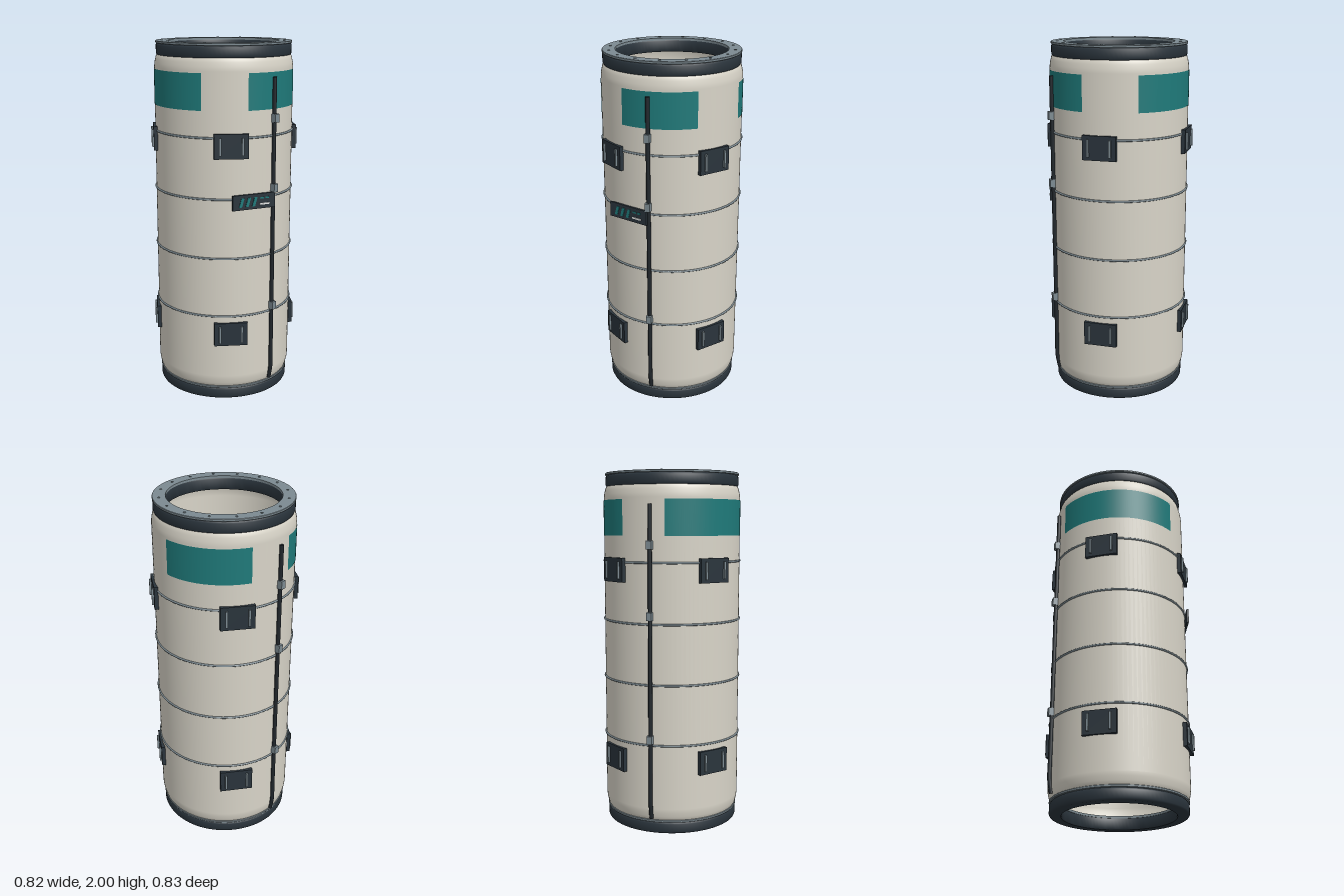
import * as THREE from 'three';
import { toCreasedNormals } from 'three/addons/utils/BufferGeometryUtils.js';

const mat = (name, color, side = THREE.FrontSide) => {
  const m = new THREE.MeshStandardMaterial({ color, side });
  m.name = name;
  return m;
};
const deg = THREE.MathUtils.degToRad;
const R = 0.388; // hull radius

export function createModel() {
  const cream = mat('cream hull', 0xd8d4c8, THREE.DoubleSide);
  const teal = mat('teal', 0x1f7a7a);
  const dark = mat('dark slate', 0x2a343c);
  const black = mat('cable black', 0x20262b);
  const grey = mat('steel grey', 0x7c8a91);
  const light = mat('light mark', 0xe6e8e6);

  const model = new THREE.Group();
  const tube = new THREE.Group();
  tube.name = 'hullModule';
  tube.position.z = -0.005;
  model.add(tube);

  const add = (parent, name, geo, material, x = 0, y = 0, z = 0) => {
    const mesh = new THREE.Mesh(geo, material);
    mesh.name = name;
    mesh.position.set(x, y, z);
    parent.add(mesh);
    return mesh;
  };
  const lathe = (pts) => new THREE.LatheGeometry(pts.map(([x, y]) => new THREE.Vector2(x, y)), 96);
  const ring = (pts) => toCreasedNormals(lathe([...pts, pts[0]]), deg(40));

  // Thin hull with rounded shoulders
  const shoulder = [[0.37, 0.075], [0.377, 0.085], [0.381, 0.1], [0.386, 0.122], [R, 0.145]];
  const upper = shoulder.map(([x, y]) => [x, 2 - y]).reverse();
  add(tube, 'hull', lathe([...shoulder, ...upper]), cream);

  // Dark end rings, each capped by a bolted flange
  const seal = ring([[0.312, 0], [0.366, 0], [0.373, 0.004], [0.377, 0.012], [0.377, 0.055],
    [0.373, 0.063], [0.366, 0.067], [0.312, 0.067], [0.308, 0.06], [0.308, 0.006]]);
  const flange = ring([[0.308, 0.066], [0.377, 0.066], [0.379, 0.068], [0.379, 0.077], [0.377, 0.079], [0.308, 0.079]]);
  const bolt = new THREE.CylinderGeometry(0.007, 0.007, 0.006, 12);
  for (const [label, y] of [['bottom', 0], ['top', 1.918]]) {
    add(tube, label + 'EndRing', seal, dark, 0, y);
    add(tube, label + 'Flange', flange, grey, 0, y);
    for (let i = 0; i < 16; i++) {
      const a = i * Math.PI / 8;
      add(tube, label + 'Bolt', bolt, grey, 0.344 * Math.cos(a), y + 0.079, 0.344 * Math.sin(a));
    }
  }

  // Hoops round the hull
  const hoop = new THREE.TorusGeometry(0.3895, 0.006, 8, 96).rotateX(Math.PI / 2);
  for (const y of [0.508, 0.844, 1.177, 1.508]) add(tube, 'hoop', hoop, grey, 0, y);

  // Curved painted panels: start and end angle, from +x towards +z
  for (const [a, b] of [[14.5, 76.5], [113.5, 221.5], [259, 329.5]]) {
    add(tube, 'paintedPanel', new THREE.CylinderGeometry(0.3896, 0.3896, 0.195, 64, 1, true,
      deg(90 - b), deg(b - a)), teal, 0, 1.748);
  }

  // Mounting pads with two bars, on four sides at two heights
  const pad = new THREE.BoxGeometry(0.186, 0.133, 0.022);
  const bar = new THREE.BoxGeometry(0.012, 0.095, 0.012);
  for (let i = 0; i < 4; i++) {
    for (const y of [0.404, 1.465]) {
      const g = new THREE.Group();
      g.name = 'mountingPad';
      g.rotation.y = i * Math.PI / 2;
      g.position.y = y;
      add(g, 'padPlate', pad, dark, 0, 0, 0.389);
      for (const s of [-1, 1]) add(g, 'padBar', bar, grey, s * 0.061, 0, 0.405);
      tube.add(g);
    }
  }

  // Two opposite cables, bent in at the foot and held by clips
  const path = new THREE.CatmullRomCurve3([[0.384, 0.09], [0.39, 0.125], [0.397, 0.165], [0.397, 0.3],
    [0.397, 1.0], [0.397, 1.82]].map(([r, y]) => new THREE.Vector3(0, y, r)), false, 'centripetal');
  const cable = new THREE.TubeGeometry(path, 64, 0.0115, 12);
  const cap = new THREE.CircleGeometry(0.0115, 12).rotateX(-Math.PI / 2);
  const clip = new THREE.BoxGeometry(0.03, 0.045, 0.03);
  for (const turn of [37, 217]) {
    const g = new THREE.Group();
    g.name = 'cableRun';
    g.rotation.y = deg(turn);
    add(g, 'cable', cable, black);
    add(g, 'cableEnd', cap, black, 0, 1.82, 0.397);
    for (const y of [0.542, 1.222, 1.603]) add(g, 'cableClip', clip, grey, 0, y, 0.404);
    tube.add(g);
  }

  // Status plate with slanted bars and dashes
  const plate = new THREE.Group();
  plate.name = 'statusPlate';
  plate.position.set(0.125, 1.161, 0.372);
  plate.rotation.y = deg(18.5);
  add(plate, 'plate', new THREE.BoxGeometry(0.252, 0.083, 0.012), dark);
  const slant = new THREE.BoxGeometry(0.018, 0.05, 0.004);
  const p = slant.attributes.position;
  for (let i = 0; i < p.count; i++) p.setX(i, p.getX(i) + p.getY(i) * 0.3);
  for (const x of [-0.076, -0.037, 0.002]) add(plate, 'slantedBar', slant, teal, x, 0, 0.007);
  add(plate, 'lightDash', new THREE.BoxGeometry(0.058, 0.009, 0.004), light, 0.061, -0.016, 0.007);
  for (const x of [0.047, 0.077]) {
    add(plate, 'tealDash', new THREE.BoxGeometry(0.022, 0.009, 0.004), teal, x, 0.017, 0.007);
  }
  tube.add(plate);

  return model;
}
